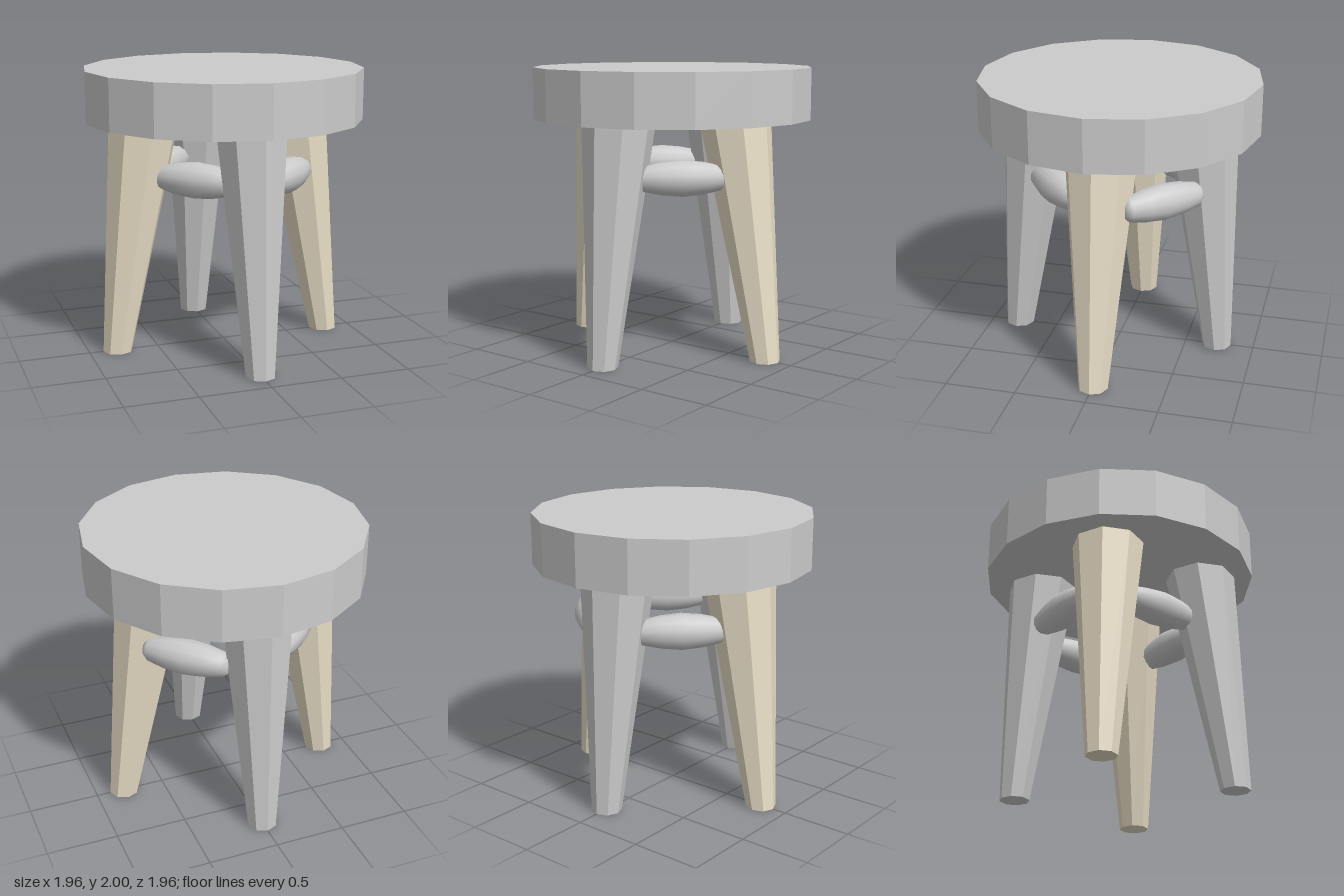
import * as THREE from 'three';

const grey = new THREE.MeshStandardMaterial({ color: 0xcccccc, flatShading: true });
const wood = new THREE.MeshStandardMaterial({ color: 0xeae0c8, flatShading: true });
const smooth = new THREE.MeshStandardMaterial({ color: 0xcccccc });

const SEAT_BOTTOM = 1.64;

// Tapered eight-sided leg, sheared from its foot to its top position
function makeLeg(name, foot, top, material) {
  const geo = new THREE.CylinderGeometry(0.25, 0.105, SEAT_BOTTOM, 8);
  geo.translate(0, SEAT_BOTTOM / 2, 0);
  const p = geo.attributes.position;
  for (let i = 0; i < p.count; i++) {
    const t = p.getY(i) / SEAT_BOTTOM;
    p.setX(i, p.getX(i) + THREE.MathUtils.lerp(foot[0], top[0], t));
    p.setZ(i, p.getZ(i) + THREE.MathUtils.lerp(foot[1], top[1], t));
  }
  geo.computeVertexNormals();
  const mesh = new THREE.Mesh(geo, material);
  mesh.name = name;
  return mesh;
}

// Swollen spindle lying diagonally between two neighbouring legs
function makeStretcher(name, x, z) {
  const half = [[0, 0.31], [0.055, 0.305], [0.085, 0.27], [0.112, 0.14]];
  const profile = [
    ...half.map(([r, h]) => new THREE.Vector2(r, -h)),
    new THREE.Vector2(0.125, 0),
    ...half.slice().reverse().map(([r, h]) => new THREE.Vector2(r, h)),
  ];
  const mesh = new THREE.Mesh(new THREE.LatheGeometry(profile, 12), smooth);
  const along = new THREE.Vector3(Math.sign(x), 0, -Math.sign(z)).normalize();
  mesh.quaternion.setFromUnitVectors(new THREE.Vector3(0, 1, 0), along);
  mesh.position.set(x, 1.27, z);
  mesh.name = name;
  return mesh;
}

export function createModel() {
  const stool = new THREE.Group();
  stool.name = 'stool';

  // Sixteen-sided seat
  const seat = new THREE.Mesh(new THREE.CylinderGeometry(0.98, 0.98, 2 - SEAT_BOTTOM, 16), grey);
  seat.position.y = (2 + SEAT_BOTTOM) / 2;
  seat.name = 'seat';
  stool.add(seat);

  // Splayed legs: wood at the sides, grey at front and back
  stool.add(
    makeLeg('leftLeg', [0.795, 0], [0.535, 0], wood),
    makeLeg('rightLeg', [-0.795, 0], [-0.575, 0], wood),
    makeLeg('frontLeg', [0, 0.79], [0, 0.6], grey),
    makeLeg('backLeg', [0, -0.73], [0, -0.58], grey),
  );

  // Stretchers joining the legs
  stool.add(
    makeStretcher('frontLeftStretcher', 0.34, 0.35),
    makeStretcher('frontRightStretcher', -0.29, 0.31),
    makeStretcher('backLeftStretcher', 0.42, -0.39),
    makeStretcher('backRightStretcher', -0.35, -0.34),
  );
  return stool;
}
